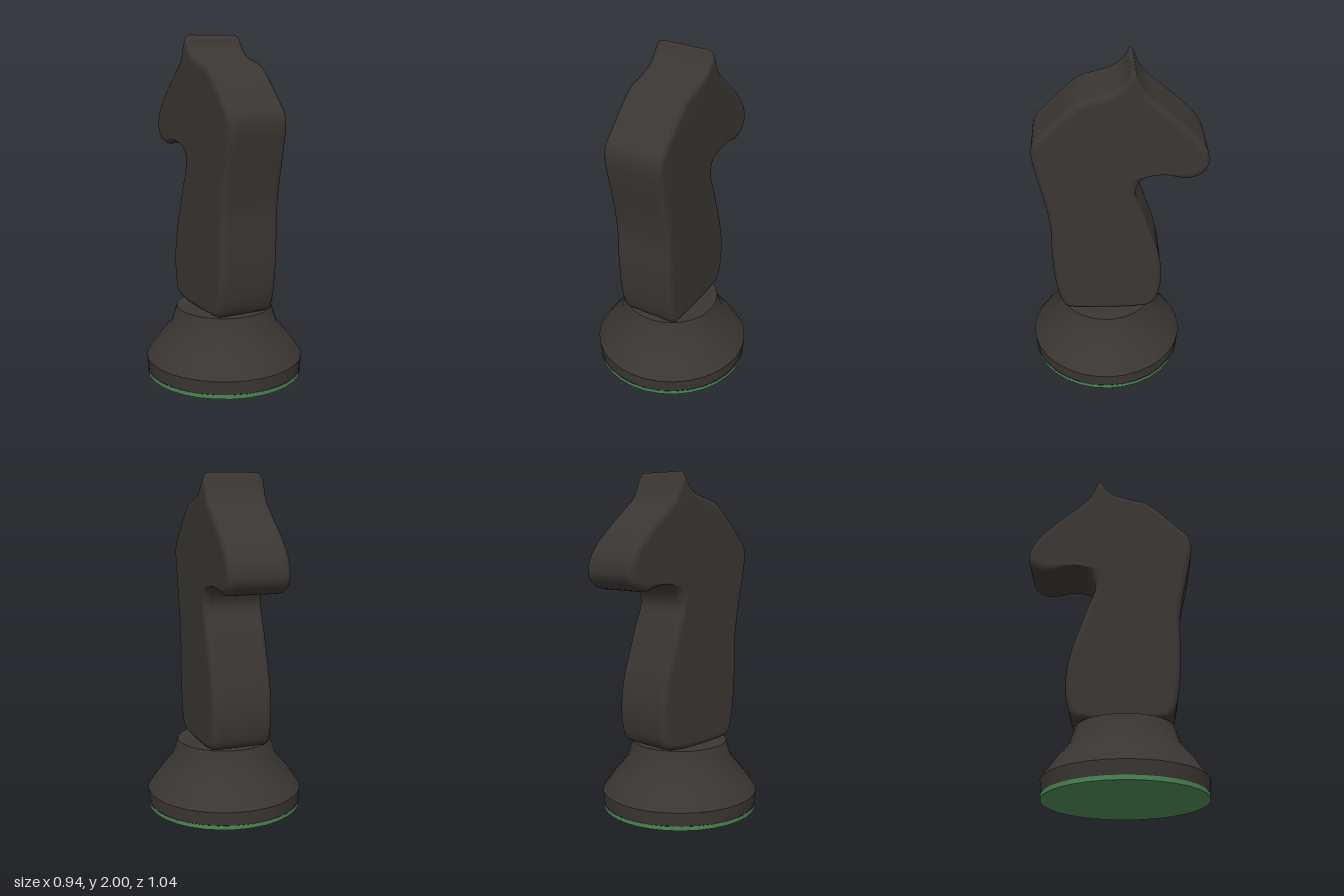
import * as THREE from 'three';

const DARK = new THREE.MeshStandardMaterial({ color: 0x3a3633 });
const GREEN = new THREE.MeshStandardMaterial({ color: 0x4a8452 });

// Horse outline as [z, y, edge inset], from the bottom front, up and over the head
const OUTLINE = [
  [0.24, 0.411, 0.03], [0.30, 0.42, 0.04], [0.332, 0.47, 0.04], [0.36, 0.60, 0.04],
  [0.375, 0.81, 0.04], [0.376, 1.015, 0.04], [0.40, 1.18, 0.04], [0.44, 1.37, 0.04],
  [0.462, 1.51, 0.04], [0.448, 1.58, 0.04], [0.39, 1.645, 0.04], [0.245, 1.79, 0.04],
  [0.18, 1.835, 0.04], [0.085, 1.862, 0.04], [0.005, 1.89, 0.035], [-0.05, 1.93, 0.02],
  [-0.095, 2.0, 0.055], [-0.127, 1.935, 0.02], [-0.17, 1.86, 0.035], [-0.26, 1.78, 0.04],
  [-0.375, 1.68, 0.04], [-0.47, 1.58, 0.04], [-0.513, 1.50, 0.04], [-0.518, 1.42, 0.045],
  [-0.475, 1.363, 0.045], [-0.40, 1.342, 0.04], [-0.34, 1.353, 0.03], [-0.27, 1.372, 0.012],
  [-0.18, 1.36, 0.012], [-0.135, 1.31, 0.065], [-0.115, 1.24, 0.04], [-0.16, 1.115, 0.04],
  [-0.205, 0.98, 0.04], [-0.255, 0.82, 0.04], [-0.28, 0.655, 0.04], [-0.27, 0.52, 0.04],
  [-0.245, 0.445, 0.04], [-0.19, 0.413, 0.035],
];

// Closed smooth loop through 2D points, with the same number of samples per span
function smoothLoop(points, perSpan = 4) {
  const curve = new THREE.CatmullRomCurve3(points.map(([z, y]) => new THREE.Vector3(0, y, z)), true);
  const n = points.length * perSpan;
  return Array.from({ length: n }, (_, i) => curve.getPoint(i / n));
}

// Slab with rounded edges: rings run from the +x face to the -x face
function horseGeometry(halfWidth, bevel) {
  const count = OUTLINE.length;
  const inner = OUTLINE.map(([z, y, inset], i) => {
    const a = OUTLINE[(i + count - 1) % count], b = OUTLINE[(i + 1) % count];
    const dz = b[0] - a[0], dy = b[1] - a[1], len = Math.hypot(dz, dy);
    return [z - (dy / len) * inset, y + (dz / len) * inset];
  });
  const outerLoop = smoothLoop(OUTLINE), innerLoop = smoothLoop(inner);
  const n = outerLoop.length, steps = 5;

  const rings = [];
  for (let s = 0; s <= steps; s++) {
    const angle = (s / steps) * Math.PI / 2;
    rings.push({ x: halfWidth - bevel * (1 - Math.cos(angle)), t: Math.sin(angle) });
  }
  for (let s = steps; s >= 0; s--) rings.push({ x: -rings[s].x, t: rings[s].t });

  const positions = [], index = [];
  const p = new THREE.Vector3();
  for (const { x, t } of rings) {
    for (let i = 0; i < n; i++) {
      p.lerpVectors(innerLoop[i], outerLoop[i], t);
      positions.push(x, p.y, p.z);
    }
  }
  for (let r = 0; r < rings.length - 1; r++) {
    for (let i = 0; i < n; i++) {
      const j = (i + 1) % n, a = r * n + i, b = r * n + j;
      index.push(a, b, a + n, b, b + n, a + n);
    }
  }
  // Flat faces on both sides
  const flat = innerLoop.map((v) => new THREE.Vector2(-v.z, v.y));
  const last = (rings.length - 1) * n;
  for (const [a, b, c] of THREE.ShapeUtils.triangulateShape(flat, [])) {
    index.push(a, b, c, last + a, last + c, last + b);
  }
  const geometry = new THREE.BufferGeometry();
  geometry.setAttribute('position', new THREE.Float32BufferAttribute(positions, 3));
  geometry.setIndex(index);
  geometry.computeVertexNormals();
  return geometry;
}

export function createModel() {
  const model = new THREE.Group();
  model.name = 'knightPiece';

  const horse = new THREE.Mesh(horseGeometry(0.183, 0.04), DARK);
  horse.name = 'horse';
  model.add(horse);

  // Base turned in separate bands, so the edges between them stay sharp
  const base = new THREE.Group();
  base.name = 'base';
  base.position.z = 0.052;
  const bands = [
    ['feltBottom', GREEN, [[0, 0], [0.465, 0]]],
    ['feltEdge', GREEN, [[0.465, 0], [0.465, 0.025]]],
    ['baseRim', DARK, [[0.463, 0.025], [0.47, 0.105]]],
    ['baseSlope', DARK, [[0.47, 0.105], [0.40, 0.205], [0.318, 0.305], [0.285, 0.409]]],
    ['baseTop', DARK, [[0.285, 0.409], [0, 0.409]]],
  ];
  for (const [name, material, profile] of bands) {
    const points = profile.map(([r, y]) => new THREE.Vector2(r, y));
    const band = new THREE.Mesh(new THREE.LatheGeometry(points, 32), material);
    band.name = name;
    base.add(band);
  }
  model.add(base);
  return model;
}
